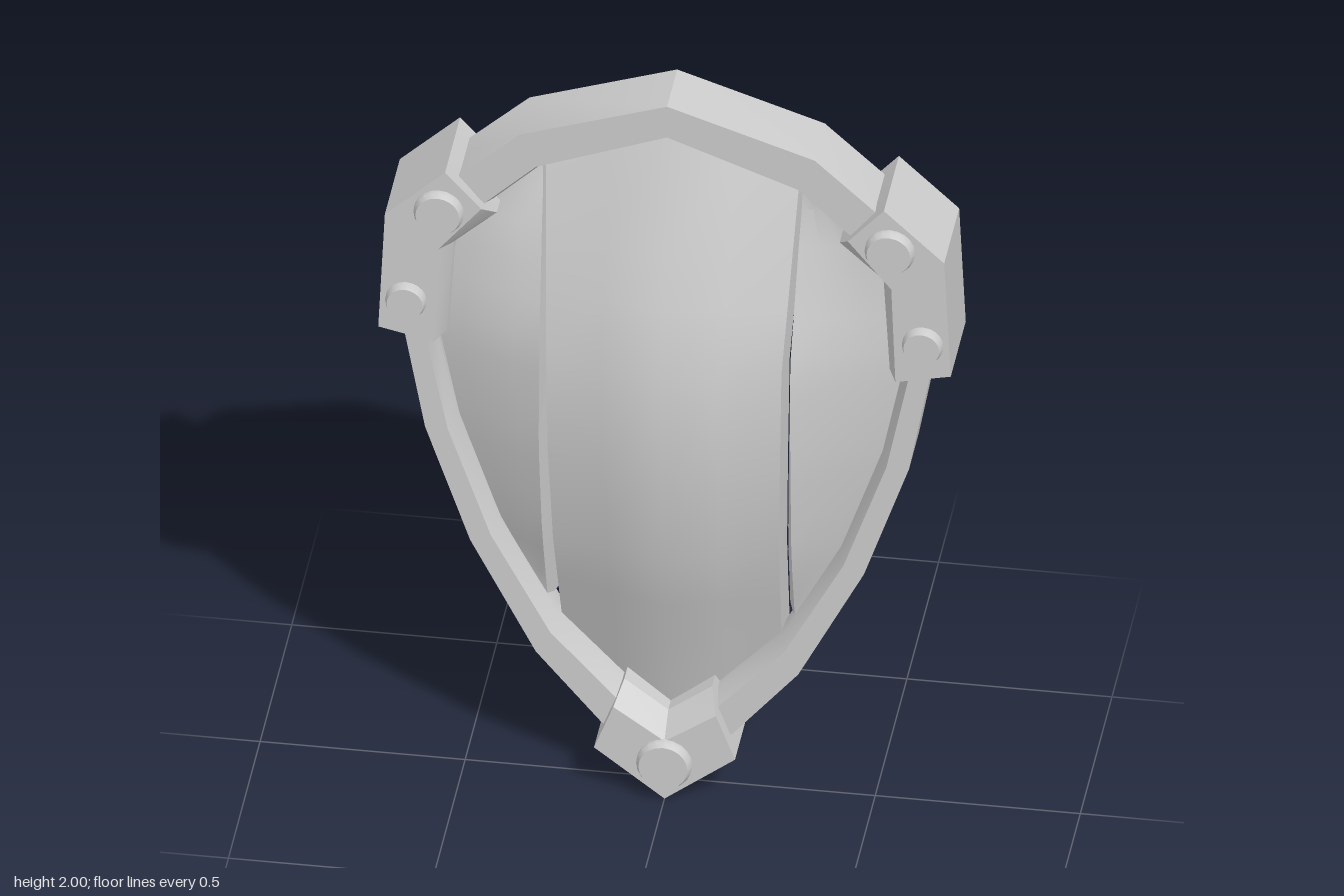
import * as THREE from 'three';
import { toCreasedNormals } from 'three/addons/utils/BufferGeometryUtils.js';

const grey = new THREE.MeshStandardMaterial({ color: 0xcccccc });
const panelGrey = new THREE.MeshStandardMaterial({ color: 0xcccccc, side: THREE.DoubleSide });

// Piecewise linear lookup through [key, value] pairs in rising key order
function lerpTable(table, k) {
  let i = 1;
  while (i < table.length - 1 && k > table[i][0]) i++;
  const [a, va] = table[i - 1], [b, vb] = table[i];
  return va + (vb - va) * THREE.MathUtils.clamp((k - a) / (b - a), 0, 1);
}

// Mirror a path to the other side, keeping it clockwise
const mirror = path => path.map(([x, y]) => [-x, y]).reverse();

// Six-sided bar along a clockwise path; depths run front, ridge front, ridge back, back
function band(name, outer, inner, ridge, depths, closed) {
  const pos = [], n = outer.length;
  const [front, ridgeFront, ridgeBack, back] = depths;
  const sections = outer.map((o, i) => [
    [...o, front], [...inner[i], front], [...ridge[i], ridgeFront],
    [...ridge[i], ridgeBack], [...inner[i], back], [...o, back],
  ]);
  const tri = (a, b, c) => pos.push(...a, ...b, ...c);
  for (let i = 0; i < (closed ? n : n - 1); i++) {
    const s = sections[i], t = sections[(i + 1) % n];
    for (let j = 0; j < 6; j++) {
      const k = (j + 1) % 6;
      tri(s[j], s[k], t[k]);
      tri(s[j], t[k], t[j]);
    }
  }
  if (!closed) {
    const s = sections[0], e = sections[n - 1];
    for (let k = 1; k < 5; k++) {
      tri(s[0], s[k + 1], s[k]);
      tri(e[0], e[k], e[k + 1]);
    }
  }
  const geo = new THREE.BufferGeometry();
  geo.setAttribute('position', new THREE.Float32BufferAttribute(pos, 3));
  const mesh = new THREE.Mesh(toCreasedNormals(geo, 0.48), grey);
  mesh.name = name;
  return mesh;
}

// Thick curved panel: each row is a loop over the front columns and back again behind.
// rule(col, row, isBack) gives a point; columns run from -x to +x.
function panel(name, cols, rows, rule) {
  const around = 2 * (cols + 1);
  const geo = new THREE.PlaneGeometry(1, 1, around, rows);
  const p = geo.attributes.position;
  for (let i = 0; i < p.count; i++) {
    const k = Math.round((p.getX(i) + 0.5) * around) % around;
    const row = Math.round((p.getY(i) + 0.5) * rows);
    const isBack = k > cols;
    const [x, y, z] = rule(isBack ? around - 1 - k : k, row, isBack);
    const front = Math.max(z, -0.05);
    p.setXYZ(i, x, y, isBack ? Math.max(front - 0.075, -0.1) : front);
  }
  const mesh = new THREE.Mesh(toCreasedNormals(geo, 0.75), panelGrey);
  mesh.name = name;
  return mesh;
}

// Rim outline, right half from top to bottom tip
const rimOuter = [[0, 2], [0.36, 1.88], [0.6, 1.66], [0.645, 1.3], [0.59, 1], [0.48, 0.68], [0.32, 0.37], [0.16, 0.18], [0, 0.04]];
const rimInner = [[0, 1.91], [0.32, 1.79], [0.53, 1.59], [0.59, 1.27], [0.535, 1], [0.43, 0.7], [0.285, 0.43], [0.12, 0.25], [0, 0.15]];
const rimRidge = rimInner.map(([x, y]) => [x * 0.965, 1.1 + (y - 1.1) * 0.97]);
const whole = half => [...half, ...mirror(half).slice(1, -1)];

// Limits and bulge of the panels
const topEdge = rimInner.slice(0, 4);
const bottomEdge = rimInner.slice(4).reverse();
const sideEdge = rimInner.map(([x, y]) => [y, x]).reverse();
const seam = [[0.44, 0.268], [1, 0.283], [1.28, 0.287], [1.78, 0.31]];
const gap = [[0.48, 0.032], [1, 0.024], [1.78, 0.008]];
const bulge = [[0.17, -0.03], [0.42, 0.05], [0.72, 0.145], [1, 0.18], [1.28, 0.18], [1.58, 0.09], [1.9, -0.03]];
const panelZ = (x, y) => lerpTable(bulge, y) - 0.27 * Math.abs(x);

// Rivet head facing forward, with a chamfered edge
function rivet(x, y, r) {
  const profile = [[0, -0.03], [r, -0.03], [r, 0.014], [r * 0.88, 0.03], [0, 0.03]];
  const geo = new THREE.LatheGeometry(profile.map(q => new THREE.Vector2(...q)), 20);
  const mesh = new THREE.Mesh(toCreasedNormals(geo, 0.5), grey);
  mesh.rotation.x = Math.PI / 2;
  mesh.position.set(x, y, 0.085);
  mesh.name = 'rivet';
  return mesh;
}

export function createModel() {
  const shield = new THREE.Group();
  shield.name = 'shield';

  shield.add(band('rim', whole(rimOuter), whole(rimInner), whole(rimRidge), [0.05, 0, -0.07, -0.11], true));

  // Middle panel: a shallow keel, slightly wider behind than in front
  shield.add(panel('middlePanel', 4, 8, (c, r, isBack) => {
    const w = c / 2 - 1;
    const low = lerpTable(bottomEdge, Math.abs(w) * 0.27);
    const high = lerpTable(topEdge, Math.abs(w) * 0.31) - 0.015;
    const y = [low, Math.max(low + 0.03, 0.42), 0.57, 0.72, 1, 1.28, 1.45, 1.58, high][r];
    return [w * lerpTable(seam, y) * (isBack ? 1.03 : 1), y, panelZ(w * 0.29, y)];
  }));

  // Side panels, set slightly behind the middle one and bevelled along the seam
  for (const s of [1, -1]) {
    shield.add(panel(s > 0 ? 'leftPanel' : 'rightPanel', 4, 14, (c, r, isBack) => {
      const a = (s > 0 ? c : 4 - c) / 4;
      const y = 0.48 + 1.29 * r / 14;
      const inset = isBack ? 0.009 : lerpTable(gap, y);
      const x0 = lerpTable(seam, y) + inset;
      const x1 = Math.max(x0 + 0.005, lerpTable(sideEdge, y) * 0.98);
      const z0 = panelZ(0.31, y) - 0.006;
      return [s * (x0 + (x1 - x0) * a), y, z0 + (-0.02 - z0) * a];
    }));
  }

  // Shoulder brackets
  const depths = [0.09, 0.03, -0.087, -0.147];
  const outer = [[0.535, 1.778], [0.682, 1.64], [0.698, 1.31]];
  const inner = [[0.447, 1.68], [0.553, 1.55], [0.563, 1.28]];
  const ridge = [[0.418, 1.633], [0.525, 1.535], [0.54, 1.275]];
  shield.add(band('leftBracket', outer, inner, ridge, depths, false));
  shield.add(band('rightBracket', mirror(outer), mirror(inner), mirror(ridge), depths, false));

  // Bottom bracket
  shield.add(band('bottomBracket',
    [[0.172, 0.132], [0, 0], [-0.172, 0.132]],
    [[0.125, 0.255], [0, 0.168], [-0.125, 0.255]],
    [[0.107, 0.3], [0, 0.22], [-0.107, 0.3]], depths, false));

  for (const s of [1, -1]) shield.add(rivet(s * 0.55, 1.663, 0.061), rivet(s * 0.63, 1.397, 0.05));
  shield.add(rivet(0, 0.105, 0.068));

  // Curved grip on the back
  const arc = new THREE.Shape();
  arc.absarc(0, 0, 0.22, Math.PI - 1.75, Math.PI + 1.75, false);
  arc.absarc(0, 0, 0.18, Math.PI + 1.75, Math.PI - 1.75, true);
  const gripGeo = new THREE.ExtrudeGeometry(arc, { depth: 0.07, bevelEnabled: false, curveSegments: 16 });
  gripGeo.rotateY(-Math.PI / 2).translate(0.035, 1.16, 0.04);
  const grip = new THREE.Mesh(toCreasedNormals(gripGeo, 0.6), grey);
  grip.name = 'grip';
  shield.add(grip);

  return shield;
}
